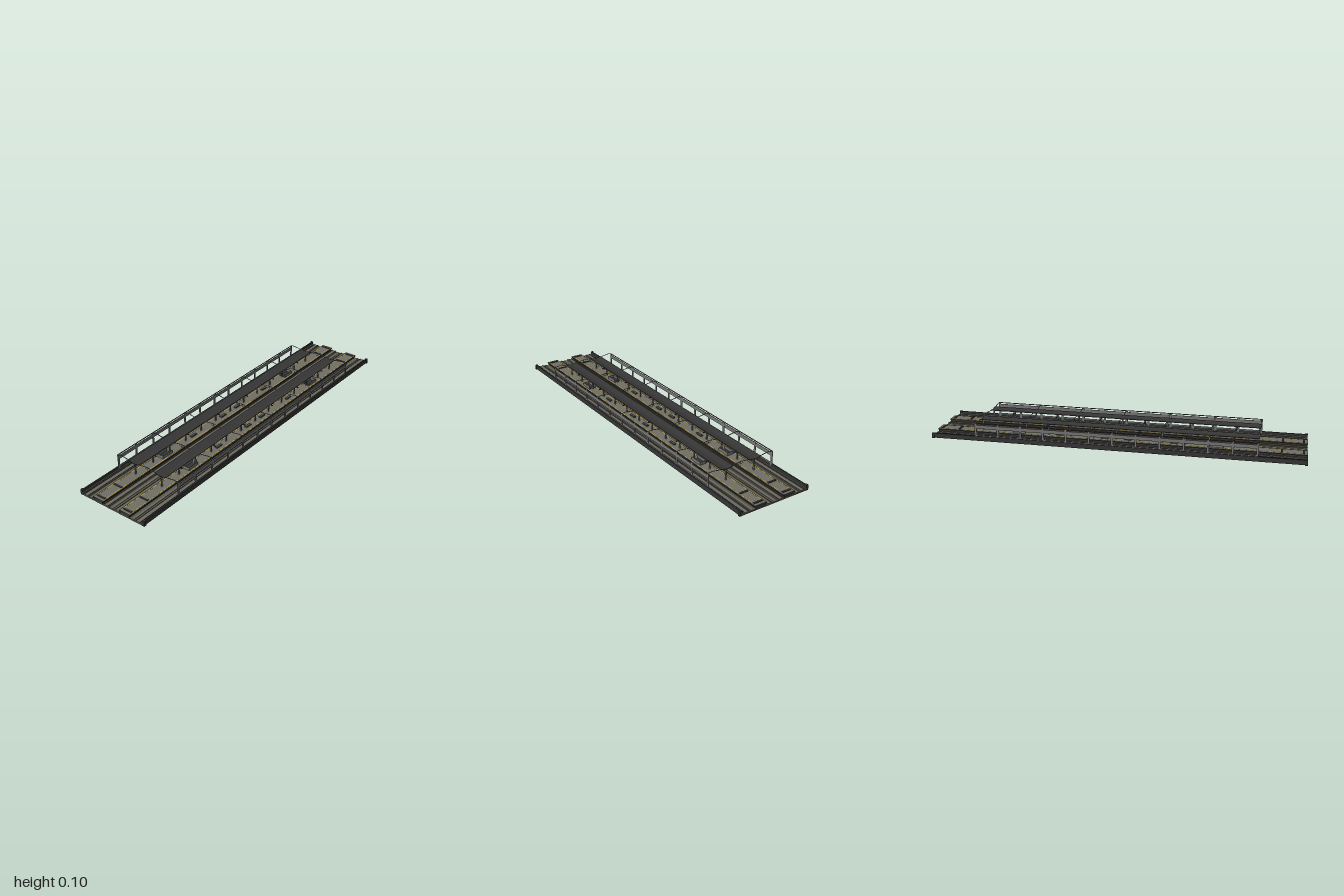
import * as THREE from 'three';

export function createModel() {
  const root = new THREE.Group();
  const mat = (name, color) => {
    const m = new THREE.MeshStandardMaterial({ color, side: THREE.DoubleSide });
    m.name = name;
    return m;
  };
  const concrete = mat('concrete', 0x6b6a5f);
  const ballast = mat('ballast', 0x58574d);
  const paving = mat('paving', 0x707068);
  const charcoal = mat('charcoal', 0x363636);
  const steel = mat('steel', 0x777777);
  const darkSteel = mat('dark steel', 0x4a4a4a);
  const rust = mat('rail brown', 0x63503f);
  const yellow = mat('safety yellow', 0xc9a52a);

  const box = (parent, name, m, x, y0, y1, z, w, d) => {
    const mesh = new THREE.Mesh(new THREE.BoxGeometry(w, y1 - y0, d), m);
    mesh.name = name;
    mesh.position.set(x, (y0 + y1) / 2, z);
    parent.add(mesh);
    return mesh;
  };
  const group = (name) => {
    const g = new THREE.Group();
    g.name = name;
    root.add(g);
    return g;
  };
  // Extrude an XY outline along z, centred on z = 0
  const profile = (parent, name, m, points, depth, z = 0) => {
    const shape = new THREE.Shape(points.map(([x, y]) => new THREE.Vector2(x, y)));
    const geo = new THREE.ExtrudeGeometry(shape, { depth, bevelEnabled: false });
    geo.translate(0, 0, z - depth / 2);
    const mesh = new THREE.Mesh(geo, m);
    mesh.name = name;
    parent.add(mesh);
  };

  // Viaduct deck
  const deck = group('deck');
  box(deck, 'deckSlab', ballast, 0, 0.001, 0.008, 0, 0.396, 2);
  box(deck, 'centreStrip', concrete, 0, 0.008, 0.01, 0, 0.012, 2);

  for (const s of [-1, 1]) {
    // Parapet, with a service ledge inside and a cap at each end
    const parapet = group('parapet');
    box(parapet, 'parapetWall', charcoal, s * 0.197, 0.001, 0.027, 0, 0.007, 2);
    box(parapet, 'serviceLedge', concrete, s * 0.191, 0.008, 0.014, 0, 0.006, 2);
    for (const e of [-1, 1])
      box(parapet, 'parapetEnd', charcoal, s * 0.1985, 0, 0.028, e * 0.993, 0.013, 0.014);

    // Two tracks, either side of the platform
    for (const [cx, w] of [[0.167, 0.036], [0.035, 0.034]]) {
      const track = group('track');
      box(track, 'trackBed', concrete, s * cx, 0.008, 0.0115, 0, w, 2);
      for (const r of [-1, 1])
        box(track, 'rail', cx < 0.1 ? rust : darkSteel, s * cx + r * 0.012, 0.0115, 0.0145, 0, 0.0025, 2);
    }
    box(deck, 'cableDuct', concrete, s * 0.135, 0.008, 0.011, 0, 0.012, 2);

    // Island platform: overhanging slab on a narrower base
    const platform = group('platform');
    const px = s * 0.085;
    box(platform, 'platformBase', charcoal, px, 0.008, 0.02, 0, 0.054, 2);
    box(platform, 'platformSlab', charcoal, px, 0.02, 0.0245, 0, 0.07, 2);
    box(platform, 'platformPaving', paving, px, 0.0245, 0.0255, 0, 0.066, 2);
    for (const r of [-1, 1])
      box(platform, 'safetyLine', yellow, px + r * 0.0275, 0.0255, 0.026, 0, 0.0035, 1.96);
    for (const z of [-0.98, -0.88, 0.87, 0.98])
      box(platform, 'endBarrier', charcoal, px, 0.0255, 0.029, z, 0.05, 0.01);

    // Stairwell enclosures and seats
    for (const z of [-0.535, 0.535]) {
      for (const r of [-1, 1])
        box(platform, 'stairWall', steel, px + r * 0.018, 0.0255, 0.042, z, 0.003, 0.07);
      box(platform, 'stairBack', steel, px, 0.0255, 0.042, z + Math.sign(z) * 0.034, 0.039, 0.003);
      box(platform, 'stairOpening', charcoal, px, 0.0255, 0.027, z, 0.033, 0.065);
    }
    for (const z of [-0.3125, -0.0625, 0.0625, 0.3125])
      box(platform, 'bench', darkSteel, px, 0.0255, 0.032, z, 0.014, 0.04);

    // Butterfly canopy with columns
    const canopy = group('canopy');
    profile(canopy, 'canopyRoof', charcoal, [
      [px - 0.035, 0.0925], [px, 0.086], [px + 0.035, 0.0925],
      [px + 0.035, 0.095], [px, 0.0885], [px - 0.035, 0.095],
    ], 1.51);
    for (let i = 0; i <= 12; i++) {
      const z = -0.75 + i * 0.125;
      box(canopy, 'canopyColumn', steel, px, 0.0255, 0.087, z * 0.995, 0.004, 0.008);
      box(deck, 'footing', charcoal, px, 0, 0.001, z, 0.014, 0.03);
    }
    // Hanging platform signs
    for (const z of [-0.625, -0.375, -0.125, 0.125, 0.375, 0.625])
      for (const r of [-1, 1]) {
        box(canopy, 'hangingSign', charcoal, px + r * 0.0145, 0.07, 0.075, z, 0.024, 0.006);
        box(canopy, 'signStripe', yellow, px + r * 0.0145, 0.071, 0.0725, z, 0.01, 0.007);
        box(canopy, 'signHanger', steel, px + r * 0.022, 0.075, 0.092, z, 0.001, 0.001);
      }

    // Side screen: posts, high panel and rails
    const screen = group('sideScreen');
    const sx = s * 0.194;
    box(screen, 'screenPanel', steel, sx, 0.068, 0.088, 0, 0.002, 1.5);
    box(screen, 'topRail', darkSteel, sx, 0.094, 0.098, 0, 0.003, 1.5);
    box(screen, 'lowerRail', steel, sx, 0.027, 0.033, 0, 0.002, 1.5);
    for (let i = 0; i <= 12; i++)
      box(screen, 'screenPost', steel, sx, 0.014, 0.097, -0.75 + i * 0.125, 0.003, 0.012);
  }

  // Cross arms from the screens over the canopies to the centre line
  const arms = group('crossArms');
  const half = [[0.194, 0.096], [0.19, 0.099], [0.17, 0.101], [0.085, 0.0885], [0.01, 0.1], [0, 0.101]];
  const top = [...half, ...half.slice(0, -1).reverse().map(([x, y]) => [-x, y])];
  const outline = [...top, ...top.slice().reverse().map(([x, y]) => [x, y - 0.002])];
  for (let i = 0; i <= 6; i++) {
    const z = -0.75 + i * 0.25;
    profile(arms, 'crossArm', steel, outline, 0.004, z);
    // Small overhead fitting hung on the centre line
    box(arms, 'centreHanger', steel, 0, 0.082, 0.1, z, 0.0015, 0.002);
    box(arms, 'centreBracket', steel, 0, 0.088, 0.089, z, 0.03, 0.002);
  }
  return root;
}
